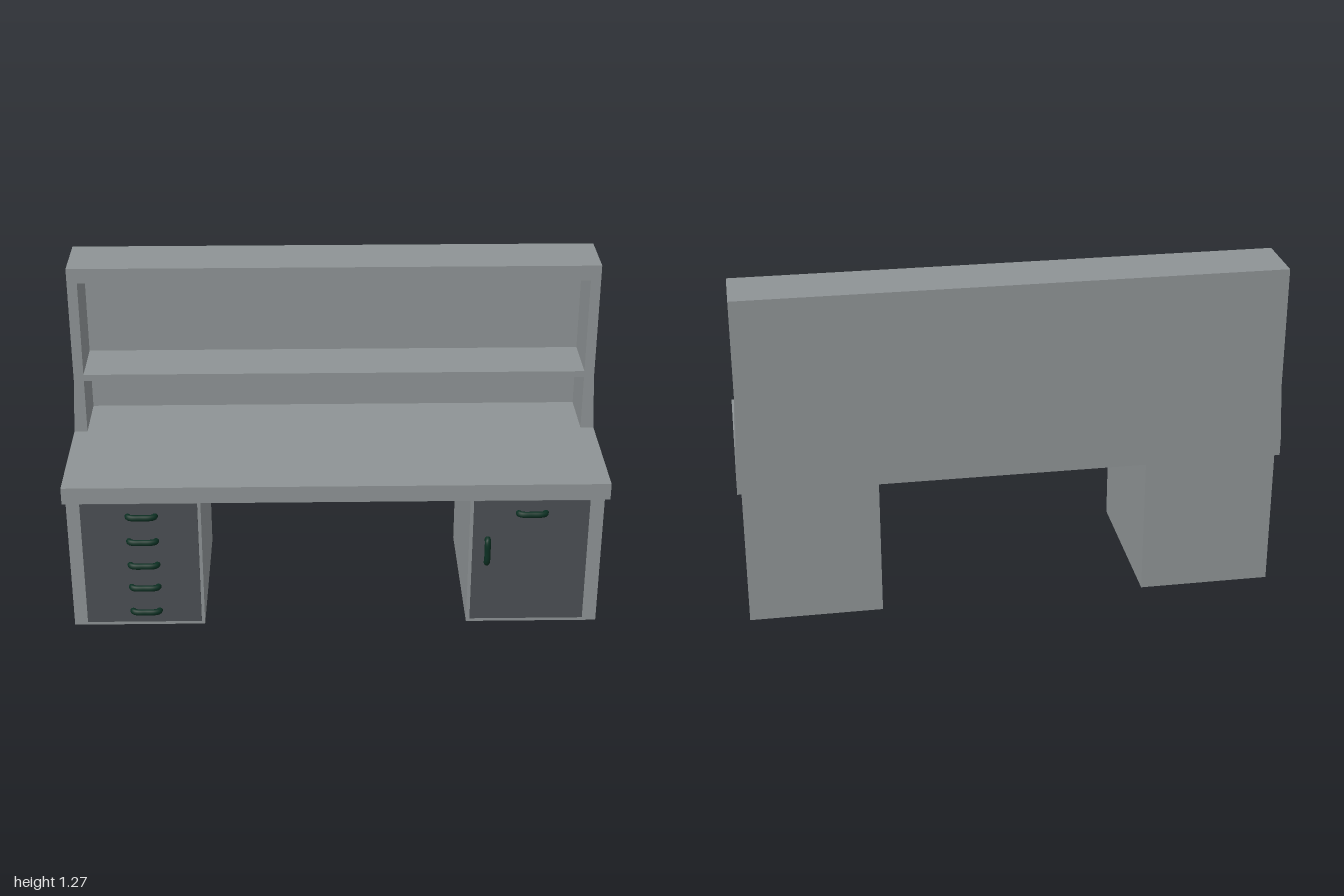
import * as THREE from 'three';

export function createModel() {
  const model = new THREE.Group();
  model.name = 'desk';

  const makeMaterial = (name, color) => {
    const m = new THREE.MeshStandardMaterial({ color });
    m.name = name;
    return m;
  };
  const grey = makeMaterial('grey body', 0x8e9395);
  const dark = makeMaterial('dark front', 0x4b4f53);
  const green = makeMaterial('dark green handle', 0x0b2f22);

  const add = (name, geometry, material) => {
    const mesh = new THREE.Mesh(geometry, material);
    mesh.name = name;
    model.add(mesh);
    return mesh;
  };
  // Box given by its lower and upper corners
  const box = (name, material, [x0, y0, z0], [x1, y1, z1]) =>
    add(name, new THREE.BoxGeometry(x1 - x0, y1 - y0, z1 - z0), material)
      .position.set((x0 + x1) / 2, (y0 + y1) / 2, (z0 + z1) / 2);
  const shapeFrom = (points) => new THREE.Shape(points.map(([x, y]) => new THREE.Vector2(x, y)));
  const extrude = (shape, depth, z) =>
    new THREE.ExtrudeGeometry(shape, { depth, bevelEnabled: false }).translate(0, 0, z);

  // Worktop and the two pedestals
  box('worktop', grey, [-1, 0.54, -0.342], [1, 0.605, 0.338]);
  box('rightPedestal', grey, [-0.99, 0, -0.312], [-0.498, 0.54, 0.31]);
  box('leftPedestal', grey, [0.492, 0, -0.312], [0.985, 0.54, 0.31]);
  box('drawerFront', dark, [-0.94, 0.015, 0.31], [-0.51, 0.525, 0.315]);
  box('cupboardDoor', dark, [0.505, 0.015, 0.31], [0.932, 0.525, 0.315]);

  // Shelf unit: flared sides, open front with one shelf
  const outer = [[1, 0.605], [0.988, 0.82], [0.988, 1.275], [-0.988, 1.275], [-0.988, 0.82], [-1, 0.605]];
  const frame = shapeFrom([...outer, [-0.95, 0.605], [-0.95, 0.82], [0.95, 0.82], [0.95, 0.605]]);
  const opening = [[-0.95, 0.845], [-0.95, 1.217], [0.95, 1.217], [0.95, 0.845]];
  frame.holes.push(new THREE.Path(opening.map(([x, y]) => new THREE.Vector2(x, y))));
  add('shelfFrame', extrude(frame, 0.221, -0.336), grey);
  add('shelfBack', extrude(shapeFrom(outer), 0.006, -0.342), grey);

  // Bowed tubular handles with rounded ends
  const path = new THREE.CatmullRomCurve3(
    [[-0.05, 0], [-0.048, 0.012], [-0.034, 0.019], [0, 0.02], [0.034, 0.019], [0.048, 0.012], [0.05, 0]]
      .map(([x, z]) => new THREE.Vector3(x, 0, z)));
  const handleGeometry = new THREE.TubeGeometry(path, 24, 0.0115, 10, false);
  const addHandle = (name, x, y, turn = 0) => {
    const handle = add(name, handleGeometry, green);
    handle.position.set(x, y, 0.311);
    handle.rotation.z = turn;
  };
  [0.475, 0.37, 0.268, 0.172, 0.066].forEach((y, i) => addHandle(`drawerHandle${i + 1}`, -0.716, y));
  addHandle('cupboardDrawerHandle', 0.72, 0.475);
  addHandle('cupboardDoorHandle', 0.56, 0.315, Math.PI / 2);

  return model;
}
